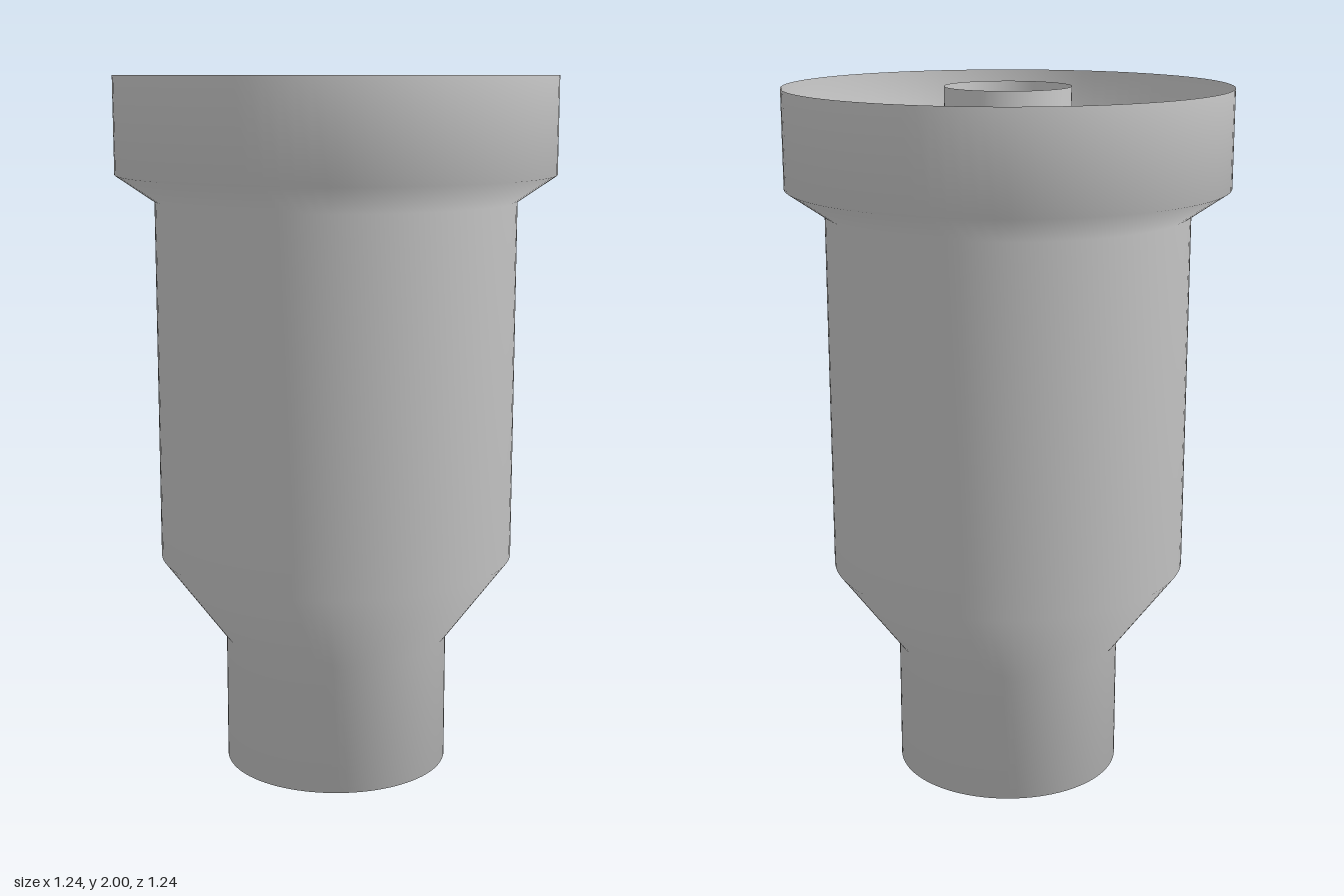
import * as THREE from 'three';

export function createModel() {
  const group = new THREE.Group();
  const material = new THREE.MeshStandardMaterial({ color: 0xcccccc, side: THREE.DoubleSide });

  // One thin wall: down the central tube, out across the base, up the stepped body to the open rim
  const profile = [
    [0.176, 2], // tube top
    [0.176, 0], // tube foot
    [0.325, 0], // base ring
    [0.325, 0.378], // neck
    [0.512, 0.628], // shoulder
    [0.512, 1.653], // barrel
    [0.622, 1.728], // collar flare
    [0.622, 2], // open rim
  ].map(([r, y]) => new THREE.Vector2(r, y));

  const shell = new THREE.Mesh(new THREE.LatheGeometry(profile, 96), material);
  shell.name = 'sleeveWithInnerTube';
  group.add(shell);
  return group;
}
